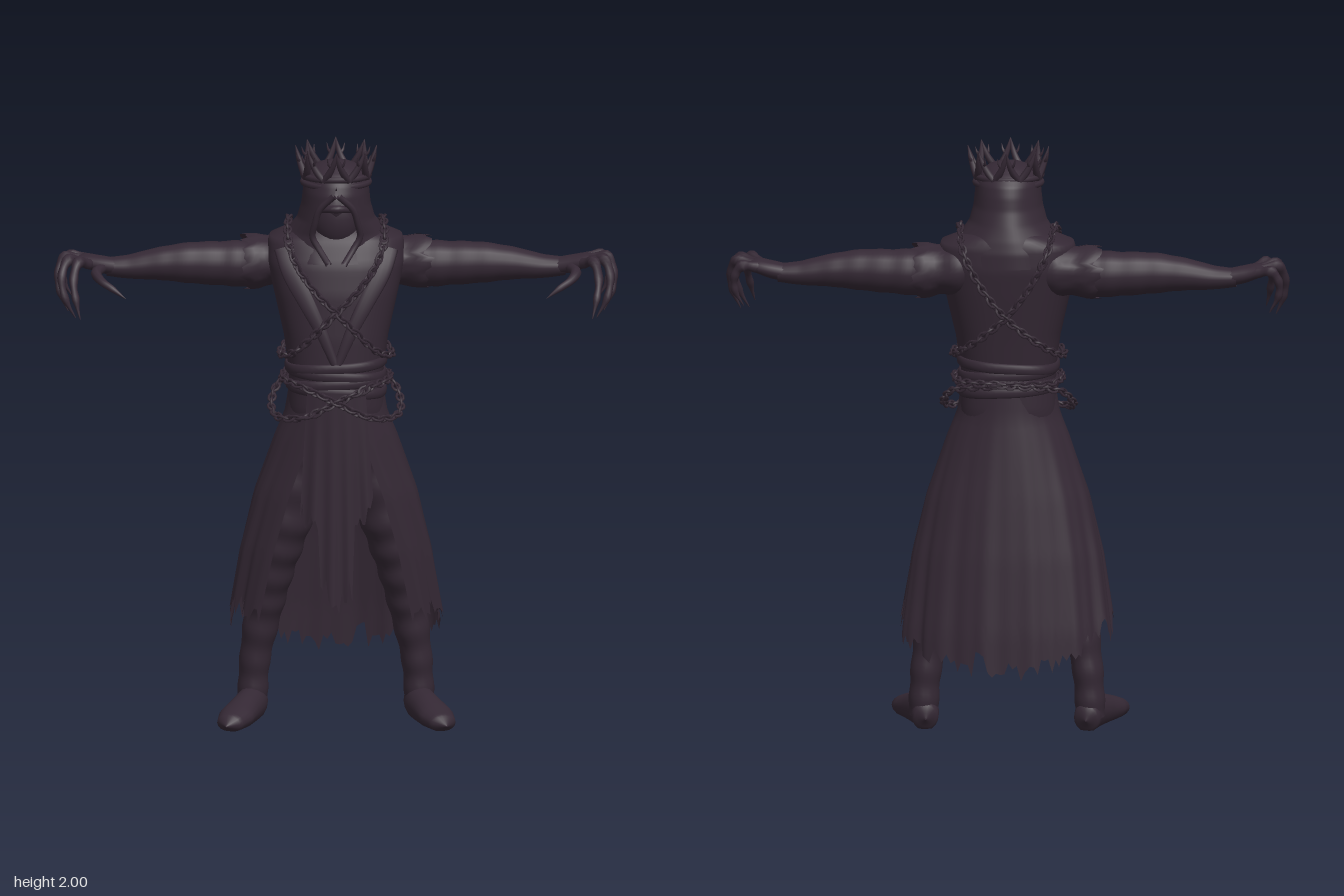
import * as THREE from 'three';
import { mergeGeometries, mergeVertices } from 'three/addons/utils/BufferGeometryUtils.js';

const V = (x, y, z) => new THREE.Vector3(x, y, z);
const UP = V(0, 1, 0), FWD = V(0, 0, 1);
const { lerp, clamp } = THREE.MathUtils;
const jag = (i) => { const s = Math.sin(i * 12.9898 + 4.1) * 43758.5453; return s - Math.floor(s); };

// Grid surface from fn(u, v, column)
function grid(nu, nv, fn) {
  const pos = [], idx = [];
  for (let i = 0; i <= nv; i++) for (let j = 0; j <= nu; j++) pos.push(...fn(j / nu, i / nv, j));
  for (let i = 0; i < nv; i++) for (let j = 0; j < nu; j++) {
    const a = i * (nu + 1) + j, c = a + nu + 1;
    idx.push(a, a + 1, c, a + 1, c + 1, c);
  }
  let g = new THREE.BufferGeometry();
  g.setAttribute('position', new THREE.Float32BufferAttribute(pos, 3));
  g.setIndex(idx);
  g = mergeVertices(g, 1e-5);
  g.computeVertexNormals();
  return g;
}

// Tapered sweep through [x, y, z, sideRadius, upRadius]
function sweep(pts, up = UP, { n = 12, m = pts.length * 5, bump = () => 0, floor = -1 } = {}) {
  const curve = new THREE.CatmullRomCurve3(pts.map((p) => V(p[0], p[1], p[2])));
  const rings = [];
  for (let i = 0; i <= m; i++) {
    const t = i / m, f = t * (pts.length - 1), k = Math.min(Math.floor(f), pts.length - 2);
    const T = curve.getTangent(t), side = up.clone().cross(T).normalize(), b = 1 + bump(t);
    const rad = (q) => lerp(pts[k][q] ?? pts[k][3], pts[k + 1][q] ?? pts[k + 1][3], f - k) * b;
    rings.push({ c: curve.getPoint(t), side, nrm: T.clone().cross(side), ra: rad(3), rb: rad(4) });
  }
  return grid(n, m, (u, v) => {
    const r = rings[Math.round(v * m)], a = u * Math.PI * 2;
    const p = r.c.clone().addScaledVector(r.side, r.ra * Math.cos(a)).addScaledVector(r.nrm, r.rb * Math.sin(a));
    return [p.x, Math.max(p.y, floor), p.z];
  });
}

// Interpolate rows of [y, halfWidth, zFront, zBack, frontGapAngle], listed downward
function atY(rows, y) {
  let k = 0;
  while (k < rows.length - 2 && y < rows[k + 1][0]) k++;
  const t = clamp((rows[k][0] - y) / (rows[k][0] - rows[k + 1][0]), 0, 1);
  return rows[k].map((a, q) => lerp(a, rows[k + 1][q], t));
}

// Upright shell around the body, optionally slit in front, with a hem height per column
function shell(rows, nu, nv, { k = 1, hem = () => rows[rows.length - 1][0], fold = () => 0 } = {}) {
  const pw = (x) => Math.sign(x) * Math.abs(x) ** k;
  return grid(nu, nv, (u, v, j) => {
    const y = lerp(rows[0][0], hem(u, j), v), [, rx, zf, zb, gap = 0] = atY(rows, y);
    const a = -lerp(gap, Math.PI * 2 - gap, u), f = 1 + fold(u, v);
    return [rx * f * pw(Math.sin(a)), y, (zf + zb) / 2 + ((zf - zb) / 2) * f * pw(Math.cos(a))];
  });
}

const TORSO = [[1.76, 0.03, 0.05, -0.06], [1.72, 0.13, 0.1, -0.14], [1.68, 0.23, 0.13, -0.155], [1.6, 0.235, 0.165, -0.16],
  [1.5, 0.212, 0.185, -0.145], [1.35, 0.178, 0.195, -0.12], [1.22, 0.16, 0.195, -0.1], [1.1, 0.165, 0.19, -0.1], [0.98, 0.16, 0.15, -0.08]];
const HOOD = [[1.95, 0.002, 0.045, 0.035, 0], [1.94, 0.06, 0.1, -0.03, 0], [1.91, 0.1, 0.145, -0.075, 0], [1.88, 0.11, 0.165, -0.1, 0],
  [1.845, 0.113, 0.178, -0.112, 0.08], [1.8, 0.118, 0.178, -0.12, 0.5], [1.75, 0.132, 0.172, -0.138, 0.58],
  [1.7, 0.168, 0.15, -0.155, 0.5], [1.66, 0.2, 0.145, -0.165, 0.3], [1.61, 0.215, 0.17, -0.168, 0.12]];
const SKIRT = [[1.17, 0.16, 0.198, -0.102, 0.4], [1.08, 0.175, 0.2, -0.108, 0.42], [1, 0.208, 0.198, -0.12, 0.48], [0.8, 0.278, 0.19, -0.15, 0.62],
  [0.6, 0.325, 0.175, -0.178, 0.72], [0.35, 0.362, 0.15, -0.205, 0.82], [0.12, 0.375, 0.14, -0.22, 0.86]];

// Point resting on the torso, dir = 1 front or -1 back
function onTorso(x, y, dir, off = 0.018) {
  const [, rx, zf, zb] = atY(TORSO, y);
  const z = (zf - zb) / 2 * Math.max(0, 1 - Math.min(1, Math.abs(x) / rx) ** 2.5) ** 0.4;
  return V(x, y, (zf + zb) / 2 + dir * (z + off));
}

// Closed chain of alternating links
function chain(points) {
  const curve = new THREE.CatmullRomCurve3(points, true), n = Math.round(curve.getLength() / 0.026), parts = [];
  for (let i = 0; i < n; i++) {
    const g = new THREE.TorusGeometry(0.012, 0.0048, 5, 9).scale(1.6, 1, 1).rotateX(i % 2 ? 0.5 : 2.1);
    g.applyQuaternion(new THREE.Quaternion().setFromUnitVectors(V(1, 0, 0), curve.getTangentAt(i / n)));
    const p = curve.getPointAt(i / n);
    parts.push(g.translate(p.x, p.y, p.z));
  }
  return mergeGeometries(parts);
}

export function createModel() {
  const root = new THREE.Group();
  const cloth = new THREE.MeshStandardMaterial({ color: 0x342834, side: THREE.DoubleSide });
  cloth.name = 'dark plum';
  const add = (name, geo) => {
    const m = new THREE.Mesh(geo, cloth);
    m.name = name;
    root.add(m);
    return m;
  };

  // Body, hood and face
  add('torso', shell(TORSO, 48, 40, { k: 0.8 }));
  add('hood', shell(HOOD, 56, 44, { fold: (u, v) => 0.015 * v * v * Math.sin(u * 44) }));
  add('head', new THREE.SphereGeometry(1, 20, 14).scale(0.085, 0.12, 0.085).translate(0, 1.76, 0.055));
  add('faceMask', new THREE.ConeGeometry(0.065, 0.15, 6).rotateX(Math.PI).scale(1, 1, 0.75).translate(0, 1.725, 0.1));
  add('brow', sweep([[-0.075, 1.785, 0.1, 0.008], [0, 1.8, 0.15, 0.014], [0.075, 1.785, 0.1, 0.008]]));
  for (const s of [1, -1]) {
    add('hoodRim', sweep([1.85, 1.8, 1.75, 1.7, 1.66, 1.61].map((y) => {
      const [, rx, zf, zb, gap] = atY(HOOD, y);
      return [s * rx * Math.sin(gap), y, (zf + zb) / 2 + (zf - zb) / 2 * Math.cos(gap), 0.011];
    }), FWD, { n: 8 }));
  }

  // Crown: band and eight peaks made of curved prongs
  const polar = (a, r, y, w) => [r * Math.sin(a), y, 0.04 + r * Math.cos(a), w];
  for (const y of [1.875, 1.9]) add('crownBand', new THREE.TorusGeometry(0.112, 0.011, 8, 40).rotateX(Math.PI / 2).translate(0, y, 0.04));
  for (let k = 0; k < 8; k++) {
    const a = k * Math.PI / 4;
    for (const s of [1, -1]) {
      add('crownProng', sweep([polar(a + s * 0.4, 0.112, 1.895, 0.012), polar(a + s * 0.2, 0.118, 1.925, 0.012),
        polar(a + s * 0.07, 0.128, 1.96, 0.009), polar(a, 0.138, 2, 0.001)], FWD, { n: 6, m: 10 }));
      add('crownThorn', sweep([polar(a + s * 0.1, 0.122, 1.945, 0.007), polar(a + s * 0.19, 0.132, 1.958, 0.005),
        polar(a + s * 0.22, 0.138, 1.98, 0.001)], FWD, { n: 5, m: 6 }));
    }
  }

  // Torn skirt and front cloth
  add('skirt', shell(SKIRT, 120, 30, {
    hem: (u, j) => 0.33 - 0.15 * Math.sin(u * Math.PI) ** 3 + 0.09 * jag(Math.floor(j / 4)) * (j % 4 ? 1 : 0.3) + 0.04 * jag(j + 50),
    fold: (u, v) => 0.022 * v * Math.sin(u * 60) + 0.01 * v * Math.sin(u * 131),
  }));
  add('frontCloth', grid(28, 24, (u, v, j) => {
    const d = Math.abs(u - 0.5) * 2, hem = (d < 0.5 ? 0.4 : 0.64) + 0.12 * jag(j + 7) + 0.05 * d;
    return [(0.5 - u) * lerp(0.2, 0.25, v), lerp(1.17, hem, v), 0.205 - 0.02 * d * d + 0.007 * v * Math.sin(u * 25)];
  }));
  for (let i = 0; i < 4; i++) {
    const y = 1.17 + i * 0.028, tilt = i % 2 ? 0.012 : -0.012, [, rx, zf, zb] = atY(TORSO, y);
    add('waistWrap', grid(48, 8, (u, v) => {
      const a = -u * Math.PI * 2, b = v * Math.PI * 2, r = 0.004 + 0.007 * Math.cos(b), k = (x) => Math.sign(x) * Math.abs(x) ** 0.8;
      return [(rx + r) * k(Math.sin(a)), y + tilt * Math.sin(a) - 0.018 * Math.sin(b), (zf + zb) / 2 + ((zf - zb) / 2 + r) * k(Math.cos(a))];
    }));
  }

  for (const s of [1, -1]) {
    // Coat lapels crossing the chest
    add('lapel', sweep([[0.17, 1.66], [0.15, 1.58], [0.1, 1.48], [0.05, 1.38], [0.005, 1.27]].map(([x, y], i) => {
      const p = onTorso(s * x, y, 1, 0.002);
      return [p.x, p.y, p.z, 0.042 - i * 0.007, 0.009];
    }), FWD));

    // Ragged shoulder cap
    add('shoulderCap', grid(36, 10, (u, v, j) => {
      const a = s * u * Math.PI * 2, r = 1 + 0.06 * Math.sin(v * 9) + 0.03 * Math.sin(u * 38) * v;
      const x = 0.14 + v * (0.15 + 0.045 * jag(j % 36));
      return [s * x, 1.592 - 0.012 * v + 0.088 * r * Math.cos(a), -0.04 + 0.098 * r * Math.sin(a)];
    }));

    // Arm with wrinkled sleeve
    add('arm', sweep([[0.16, 1.59, -0.04, 0.08, 0.08], [0.28, 1.575, -0.035, 0.08, 0.082], [0.38, 1.575, -0.035, 0.072, 0.076],
      [0.5, 1.578, -0.03, 0.066, 0.07], [0.6, 1.575, -0.03, 0.058, 0.056], [0.7, 1.565, -0.03, 0.047, 0.041],
      [0.78, 1.565, -0.03, 0.04, 0.031]].map(([x, ...r]) => [s * x, ...r]), UP, { n: 18, m: 50, bump: (t) => 0.025 * Math.sin(t * 50) * (1 - t) }));

    // Hand with long hooked claws
    add('palm', sweep([[0.75, 1.565, -0.03, 0.04, 0.031], [0.8, 1.575, -0.025, 0.05, 0.03], [0.85, 1.588, -0.02, 0.06, 0.024],
      [0.88, 1.59, -0.02, 0.045, 0.016], [0.89, 1.59, -0.02, 0.001, 0.001]].map(([x, ...r]) => [s * x, ...r])));
    const R = [0.017, 0.019, 0.014, 0.012, 0.001];
    const fingers = [
      [[0.84, 1.585, 0.025], [0.875, 1.6, 0.07], [0.892, 1.55, 0.12], [0.885, 1.49, 0.16], [0.87, 1.425, 0.185]],
      [[0.86, 1.59, 0], [0.91, 1.602, 0.04], [0.932, 1.55, 0.075], [0.92, 1.48, 0.1], [0.885, 1.415, 0.11]],
      [[0.86, 1.59, -0.03], [0.92, 1.602, -0.01], [0.943, 1.55, 0.015], [0.937, 1.49, 0.03], [0.91, 1.425, 0.04]],
      [[0.85, 1.588, -0.06], [0.9, 1.595, -0.075], [0.925, 1.56, -0.072], [0.925, 1.51, -0.065], [0.895, 1.455, -0.06]],
    ];
    for (const f of fingers) add('finger', sweep(f.map(([x, y, z], i) => [s * x, y, z, R[i]]), FWD, { n: 8, bump: (t) => 0.12 * Math.cos(t * 25) }));
    add('thumb', sweep([[0.79, 1.57, 0], [0.815, 1.56, 0.06], [0.795, 1.54, 0.105], [0.76, 1.52, 0.13], [0.715, 1.49, 0.15]]
      .map(([x, y, z], i) => [s * x, y, z, R[i]]), UP, { n: 8 }));

    // Wrapped leg and boot
    add('leg', sweep([[0.085, 1.06, 0.05, 0.075, 0.1], [0.125, 0.9, 0.05, 0.09, 0.1], [0.175, 0.7, 0.035, 0.092, 0.1],
      [0.215, 0.54, 0.01, 0.078, 0.088], [0.245, 0.38, -0.025, 0.064, 0.08], [0.275, 0.2, -0.045, 0.052, 0.068],
      [0.285, 0.04, -0.05, 0.05, 0.062]].map(([x, ...r]) => [s * x, ...r]), FWD, { n: 20, m: 70, bump: (t) => 0.04 * Math.sin(t * 62) }));
    add('boot', sweep([[0.272, 0.04, -0.122, 0.002, 0.002], [0.275, 0.045, -0.1, 0.045, 0.05], [0.285, 0.052, -0.02, 0.052, 0.062],
      [0.31, 0.045, 0.06, 0.055, 0.055], [0.34, 0.035, 0.14, 0.062, 0.042], [0.362, 0.026, 0.2, 0.046, 0.032],
      [0.375, 0.022, 0.235, 0.002, 0.002]].map(([x, ...r]) => [s * x, ...r]), UP, { n: 18, floor: 0 }));

    // Chains over the shoulders and round the waist
    add('chestChain', chain([...[[0.16, 1.67], [0.13, 1.6], [0.07, 1.52], [0, 1.45], [-0.07, 1.38], [-0.14, 1.31]].map(([x, y]) => onTorso(s * x, y, 1, 0.022)),
      V(-s * 0.19, 1.28, 0.045),
      ...[[-0.13, 1.33], [0, 1.44], [0.09, 1.56], [0.14, 1.66]].map(([x, y]) => onTorso(s * x, y, -1, 0.022)), V(s * 0.16, 1.735, -0.03)]));
    add('waistChain', chain([[0, 1.14, 0.215], [0.11, 1.09, 0.21], [0.2, 1.08, 0.14], [0.22, 1.11, 0.05], [0.18, 1.17, -0.05], [0, 1.2, -0.122],
      [-0.15, 1.2, -0.07], [-0.18, 1.2, 0.08], [-0.11, 1.19, 0.2]].map(([x, y, z]) => V(s * x, y, z))));
  }
  return root;
}
